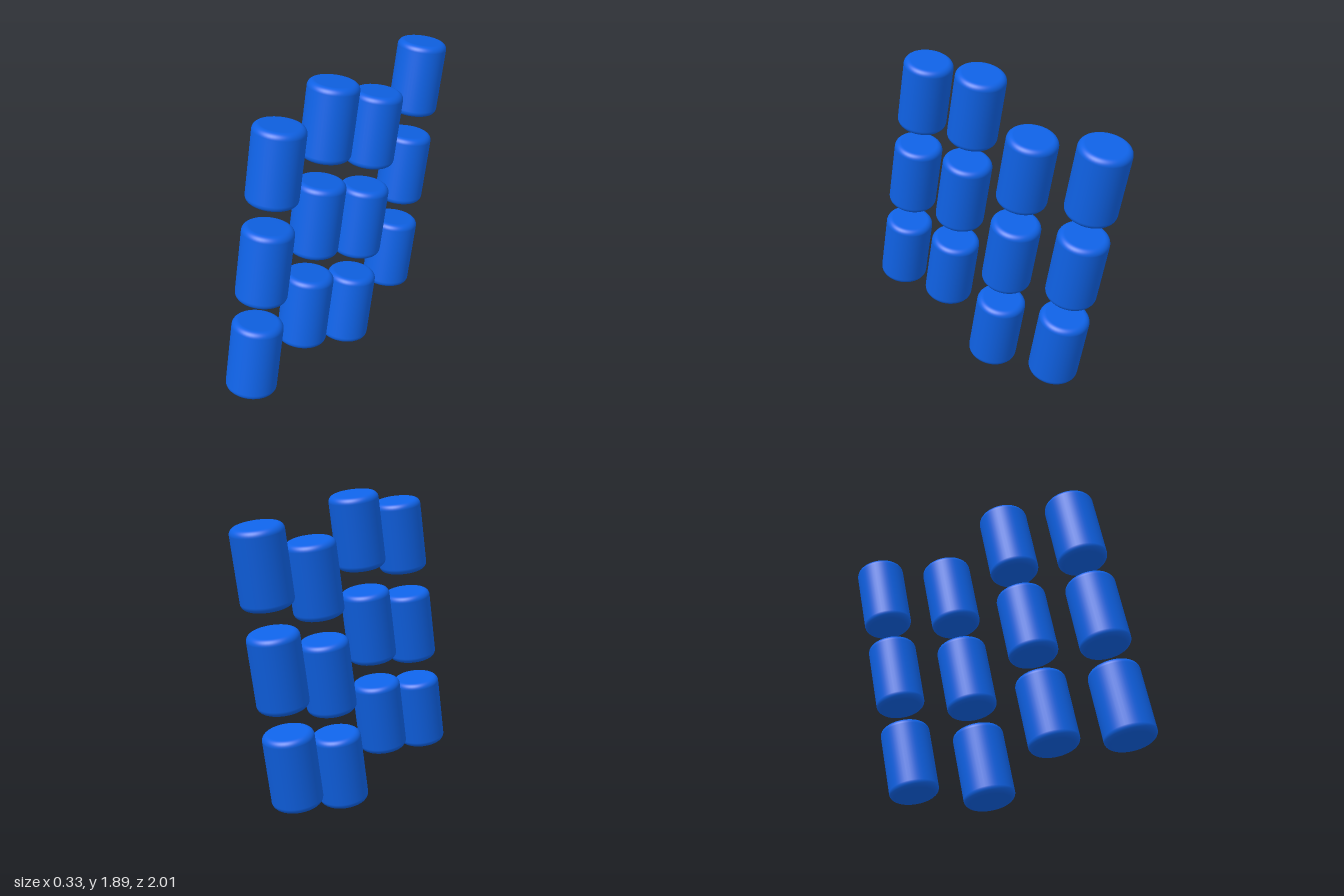
import * as THREE from 'three';

const RADIUS = 0.148, LENGTH = 0.448, FILLET = 0.037;
const TILT = THREE.MathUtils.degToRad(12);

// Cylinder with rounded rims, turned from a half profile
function roundedCylinder() {
  const shape = new THREE.Path();
  const h = LENGTH / 2, inner = RADIUS - FILLET;
  shape.moveTo(0, -h);
  shape.lineTo(inner, -h);
  shape.absarc(inner, -h + FILLET, FILLET, -Math.PI / 2, 0, false);
  shape.lineTo(RADIUS, h - FILLET);
  shape.absarc(inner, h - FILLET, FILLET, 0, Math.PI / 2, false);
  shape.lineTo(0, h);
  return new THREE.LatheGeometry(shape.getPoints(6), 48);
}

export function createModel() {
  const model = new THREE.Group();
  model.name = 'cylinderArray';
  const geometry = roundedCylinder();
  const material = new THREE.MeshStandardMaterial({ color: 0x0f62e6 });

  // Four leaning columns, placed by their lowest cylinder
  const columns = [
    { name: 'frontColumn', x: 0.017, y: 0.433, z: 0.82 },
    { name: 'frontMiddleColumn', x: 0.017, y: 0.49, z: 0.354 },
    { name: 'backMiddleColumn', x: 0.017, y: 0.248, z: -0.07 },
    { name: 'backColumn', x: -0.017, y: 0.362, z: -0.573 },
  ];

  for (const { name, x, y, z } of columns) {
    const column = new THREE.Group();
    column.name = name;
    column.position.set(x, y, z);
    column.rotation.x = -TILT;
    // Three cylinders spaced along the column's own axis
    for (let i = 0; i < 3; i++) {
      const cylinder = new THREE.Mesh(geometry, material);
      cylinder.name = `cylinder${i + 1}`;
      cylinder.position.y = i * 0.593;
      column.add(cylinder);
    }
    model.add(column);
  }
  return model;
}
